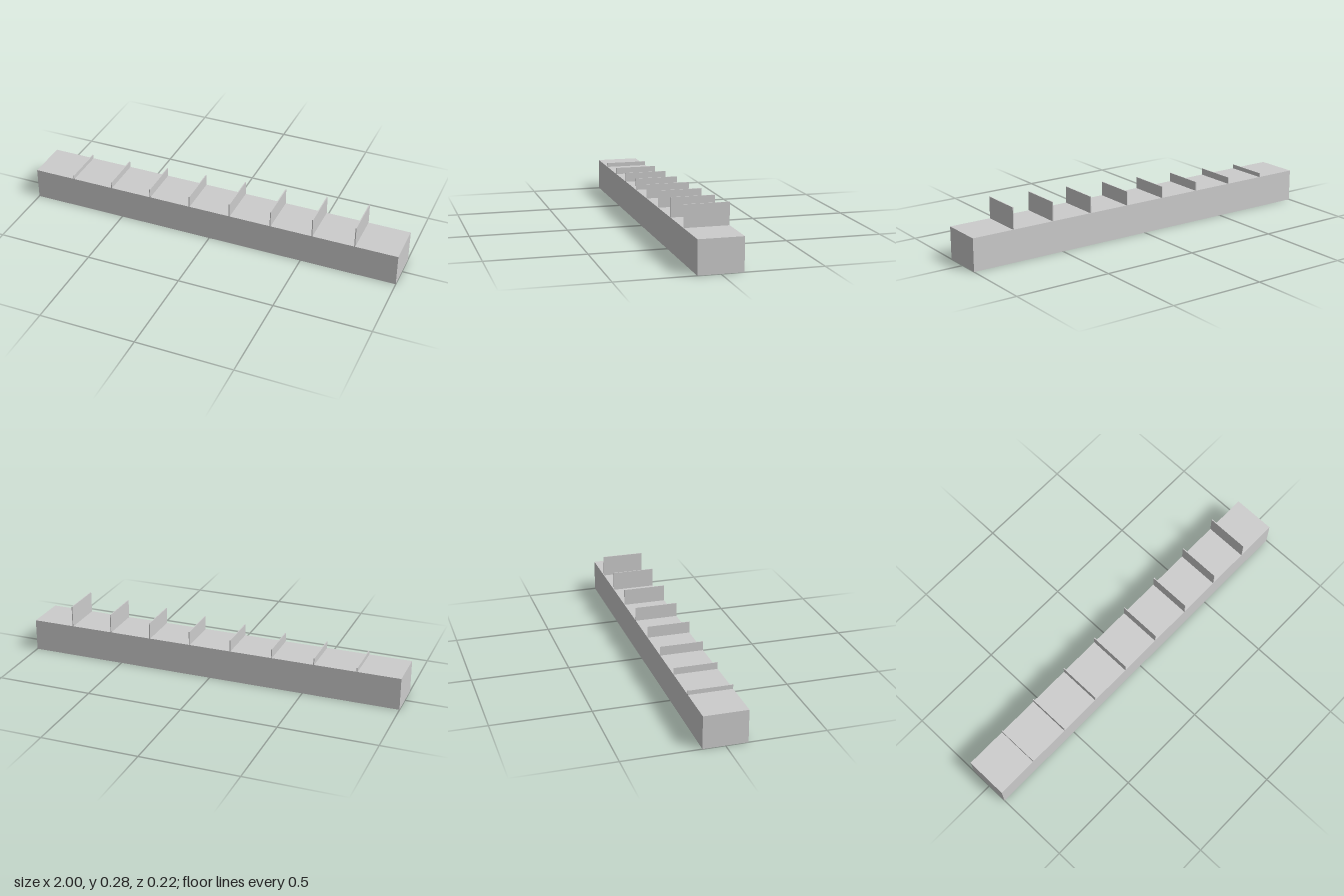
import * as THREE from 'three';

const LENGTH = 2, BASE_HEIGHT = 0.167, DEPTH = 0.222;
const FIN_COUNT = 8, FIN_THICKNESS = 0.005;
const FIN_MIN = 0.022, FIN_MAX = 0.111;

export function createModel() {
  const model = new THREE.Group();
  model.name = 'steppedFinBar';
  const material = new THREE.MeshStandardMaterial({ color: 0xcccccc });

  // Box standing on the given height
  const addBox = (name, width, height, x, bottom) => {
    const mesh = new THREE.Mesh(new THREE.BoxGeometry(width, height, DEPTH), material);
    mesh.name = name;
    mesh.position.set(x, bottom + height / 2, 0);
    model.add(mesh);
  };

  // Long base bar
  addBox('base', LENGTH, BASE_HEIGHT, 0, 0);

  // Thin upright fins, evenly spaced and growing taller towards +x
  const spacing = LENGTH / (FIN_COUNT + 1);
  for (let i = 0; i < FIN_COUNT; i++) {
    const height = THREE.MathUtils.lerp(FIN_MIN, FIN_MAX, i / (FIN_COUNT - 1));
    addBox(`fin${i + 1}`, FIN_THICKNESS, height, -LENGTH / 2 + spacing * (i + 1), BASE_HEIGHT);
  }
  return model;
}
